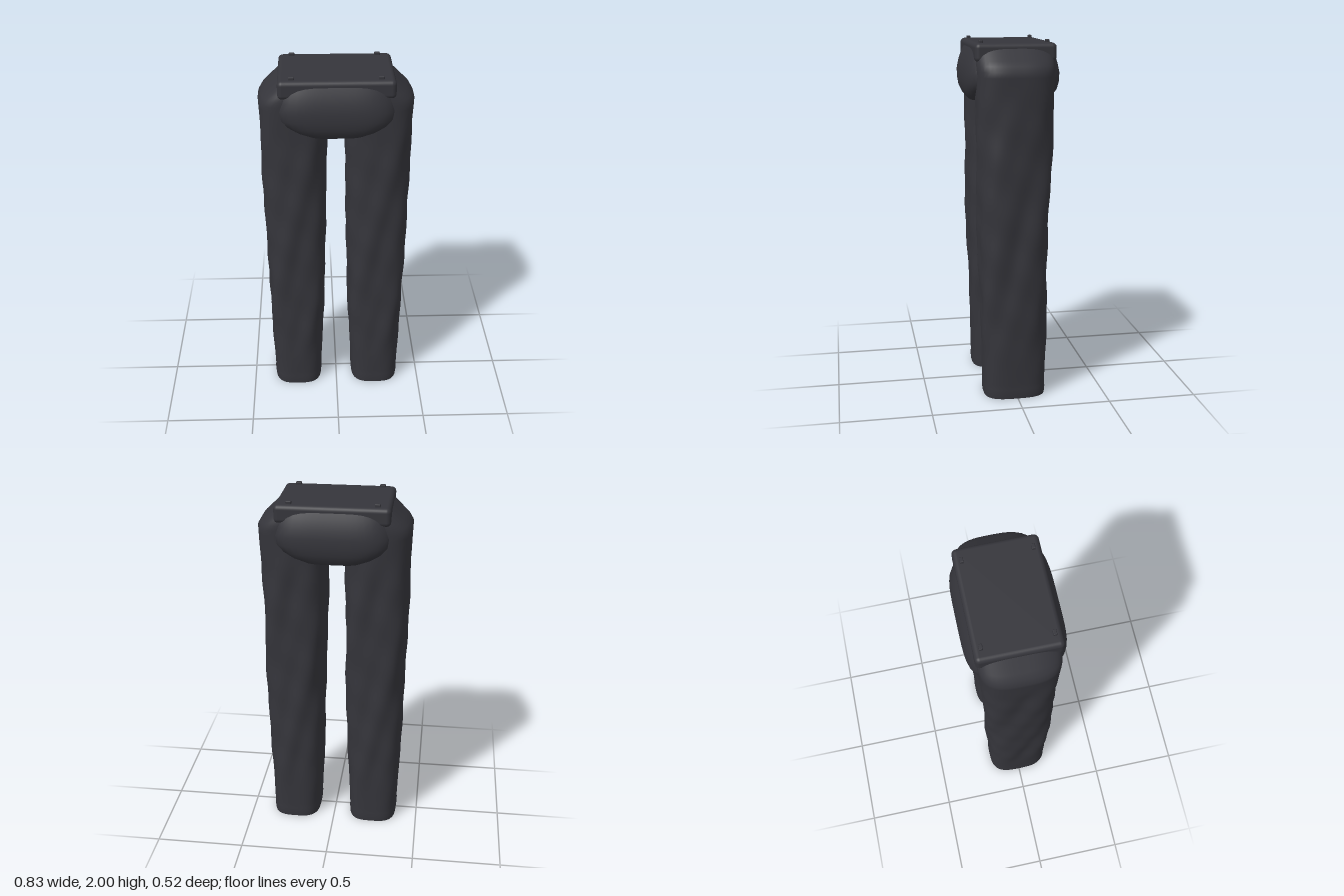
import * as THREE from 'three';
import { RoundedBoxGeometry } from 'three/addons/geometries/RoundedBoxGeometry.js';

const charcoal = new THREE.MeshStandardMaterial({ color: 0x35353b, side: THREE.DoubleSide });
charcoal.name = 'charcoal cloth';

const SEG = 64;

// Skin of rounded-square rings, bottom to top; ring = { y, cx, cz, hx, hz, n, fold }
function loft(rings, capBottom, capTop) {
  const pos = [], idx = [];
  rings.forEach(({ y, cx = 0, cz = 0, hx, hz, n, fold }) => {
    for (let j = 0; j < SEG; j++) {
      const a = (j / SEG) * Math.PI * 2, c = Math.cos(a), s = Math.sin(a);
      const r = Math.pow(Math.abs(c) ** n + Math.abs(s) ** n, -1 / n);
      const w = fold ? fold(a, y) : 0;
      pos.push(cx + c * (r * hx + w), y, cz + s * (r * hz + w));
    }
  });
  for (let i = 0; i < rings.length - 1; i++) {
    for (let j = 0; j < SEG; j++) {
      const a = i * SEG + j, b = i * SEG + ((j + 1) % SEG);
      idx.push(a, a + SEG, b, b, a + SEG, b + SEG);
    }
  }
  const cap = (ring, up) => {
    const start = pos.length / 3, base = ring * SEG * 3;
    for (let k = 0; k < SEG * 3; k++) pos.push(pos[base + k]);
    pos.push(rings[ring].cx ?? 0, rings[ring].y, rings[ring].cz ?? 0);
    for (let j = 0; j < SEG; j++) {
      const a = start + j, b = start + ((j + 1) % SEG);
      idx.push(start + SEG, up ? b : a, up ? a : b);
    }
  };
  if (capBottom) cap(0, false);
  if (capTop) cap(rings.length - 1, true);
  const g = new THREE.BufferGeometry();
  g.setAttribute('position', new THREE.Float32BufferAttribute(pos, 3));
  g.setIndex(idx);
  g.computeVertexNormals();
  return g;
}

// Diagonal cloth folds, fading out at the hem and hip
function folds(a, y) {
  const fade = THREE.MathUtils.smoothstep(y, 0.06, 0.5) * (1 - THREE.MathUtils.smoothstep(y, 1.5, 1.84));
  return fade * (0.005 * Math.sin(5 * a + 5 * y) + 0.003 * Math.sin(8 * a + 11 * y + 1)
    + 0.002 * Math.sin(3 * a - 23 * y));
}

// Inner x, outer x, half depth and depth offset at key heights
const LEG_KEYS = [
  [0, 0.094, 0.372, 0.174, 0.004],
  [0.035, 0.091, 0.376, 0.177, 0.004],
  [0.055, 0.092, 0.374, 0.175, 0.004],
  [0.5, 0.074, 0.389, 0.183, 0.005],
  [1.0, 0.062, 0.398, 0.192, 0.006],
  [1.6, 0.052, 0.408, 0.205, 0.002],
  [1.84, 0.05, 0.416, 0.213, 0],
  [1.87, 0.05, 0.398, 0.215, 0],
  [1.92, 0.05, 0.345, 0.213, 0],
  [1.965, 0.05, 0.298, 0.205, 0],
];

function legRings(side) {
  const rings = [];
  for (let k = 0; k < LEG_KEYS.length - 1; k++) {
    const A = LEG_KEYS[k], B = LEG_KEYS[k + 1];
    const steps = Math.max(1, Math.round((B[0] - A[0]) / 0.03));
    for (let i = 0; i < steps + (k === LEG_KEYS.length - 2 ? 1 : 0); i++) {
      const [y, xi, xo, hz, cz] = A.map((v, m) => THREE.MathUtils.lerp(v, B[m], i / steps));
      rings.push({ y, cx: side * (xi + xo) / 2, cz, hx: (xo - xi) / 2, hz, n: 3.2, fold: folds });
    }
  }
  return rings;
}

export function createModel() {
  const model = new THREE.Group();
  model.name = 'trousers';
  const add = (name, geometry, x = 0, y = 0, z = 0) => {
    const mesh = new THREE.Mesh(geometry, charcoal);
    mesh.name = name;
    mesh.position.set(x, y, z);
    model.add(mesh);
  };

  // Legs, open at the hem
  add('leftLeg', loft(legRings(1), false, true));
  add('rightLeg', loft(legRings(-1), false, true));

  // Bulging seat and hip panel
  const hip = [
    [1.67, 0.17, 0.22], [1.695, 0.235, 0.24], [1.73, 0.29, 0.255], [1.77, 0.325, 0.26],
    [1.82, 0.333, 0.262], [1.87, 0.325, 0.252], [1.92, 0.315, 0.236], [1.965, 0.3, 0.214],
  ].map(([y, hx, hz]) => ({ y, hx, hz, n: 4.5 }));
  add('hips', loft(hip, true, true));

  // Flat waist block with four small studs
  add('waist', new RoundedBoxGeometry(0.615, 0.1, 0.44, 4, 0.025), 0, 1.935, 0);
  for (const x of [-0.235, 0.23]) {
    for (const z of [-0.18, 0.18]) {
      add('waistStud', new RoundedBoxGeometry(0.03, 0.03, 0.019, 2, 0.004), x, 1.985, z);
    }
  }
  return model;
}
